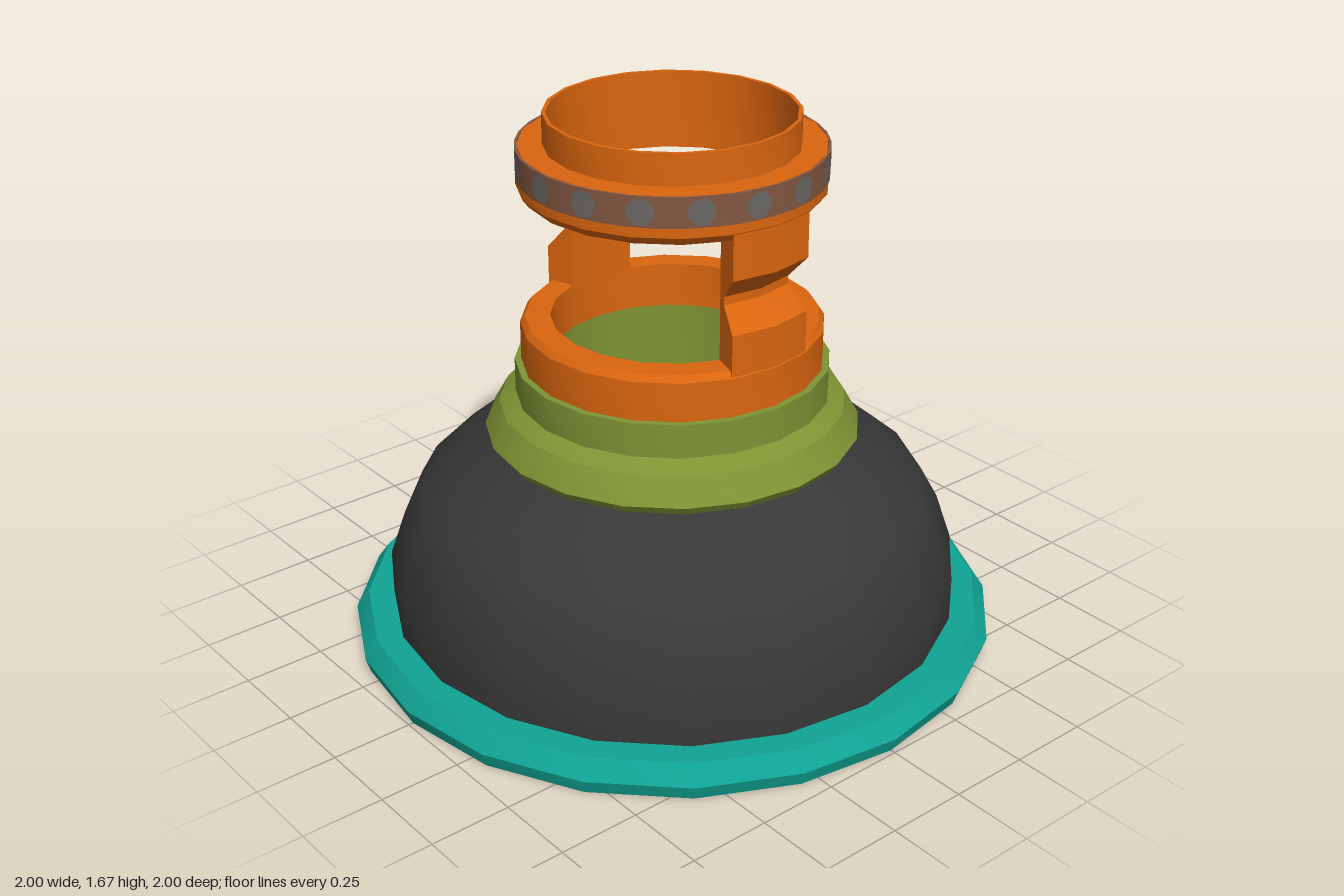
import * as THREE from 'three';
import { toCreasedNormals } from 'three/addons/utils/BufferGeometryUtils.js';

const SIDES = 20;
const DEG = Math.PI / 180;

const material = (name, color, side = THREE.FrontSide) => {
  const m = new THREE.MeshStandardMaterial({ color, side });
  m.name = name;
  return m;
};

const toPoints = (list) => list.map(([r, y]) => new THREE.Vector2(r, y));

// Revolve a [radius, height] profile; closed profiles run up the outside and down the inside
function revolve(profile, closed = true, sides = SIDES, start = 0, length = Math.PI * 2) {
  const pts = toPoints(closed ? [...profile, profile[0]] : profile);
  return toCreasedNormals(new THREE.LatheGeometry(pts, sides, start, length), 25 * DEG);
}

// Thin oval wrapped around the y axis at a given radius and angle
function wrappedOval(radius, angle, y, halfWidth, halfHeight, segments) {
  const geo = new THREE.CircleGeometry(1, segments, Math.PI / segments);
  const pos = geo.attributes.position;
  for (let i = 0; i < pos.count; i++) {
    const a = angle + (pos.getX(i) * halfWidth) / radius;
    pos.setXYZ(i, Math.sin(a) * radius, y + pos.getY(i) * halfHeight, Math.cos(a) * radius);
  }
  geo.computeVertexNormals();
  return geo;
}

export function createModel() {
  const model = new THREE.Group();
  model.name = 'flaredLamp';

  const teal = material('teal', 0x10a494);
  const charcoal = material('charcoal', 0x383838, THREE.DoubleSide);
  const olive = material('olive', 0x7f9434);
  const orange = material('orange', 0xdc660f, THREE.DoubleSide);
  const brown = material('brown', 0x835742);
  const grey = material('grey', 0x6b6864, THREE.DoubleSide);
  const paleGrey = material('paleGrey', 0x948176, THREE.DoubleSide);

  const add = (name, geometry, mat, parent = model) => {
    const mesh = new THREE.Mesh(geometry, mat);
    mesh.name = name;
    parent.add(mesh);
    return mesh;
  };

  // Base rim and the patterned lining of its opening
  add('baseRim', revolve([[0.71, 0], [0.985, 0], [1, 0.045], [0.96, 0.1], [0.71, 0.1]]), teal);
  add('rimLining', revolve([[0.706, 0.1], [0.706, 0.001]], false), brown);
  const liningSpots = new THREE.Group();
  liningSpots.name = 'liningSpots';
  model.add(liningSpots);
  for (let i = 0; i < 7; i++) {
    const angle = (45 + 25.7) * DEG + (i * Math.PI * 2) / 7;
    add('liningSpot', wrappedOval(0.691, angle, 0.05, 0.19, 0.045, 14), paleGrey, liningSpots);
  }

  // Smooth open dome
  const domeProfile = [[0.88, 0.1], [0.88, 0.24], [0.83, 0.385], [0.775, 0.485], [0.67, 0.575], [0.55, 0.66]];
  add('dome', new THREE.LatheGeometry(toPoints(domeProfile), SIDES), charcoal);

  // Stepped collar
  add('collar', revolve([
    [0.37, 0.655], [0.55, 0.655], [0.57, 0.685], [0.525, 0.765],
    [0.475, 0.795], [0.475, 0.9], [0.37, 0.9],
  ]), olive);

  // Lower and upper frame rings
  add('lowerRing', revolve([
    [0.365, 0.9], [0.455, 0.9], [0.455, 1.02], [0.44, 1.04], [0.365, 1.04],
  ]), orange);
  add('upperRing', revolve([
    [0.363, 1.43], [0.435, 1.43], [0.455, 1.455], [0.455, 1.485], [0.45, 1.485],
    [0.45, 1.575], [0.375, 1.575], [0.375, 1.67], [0.363, 1.67],
  ]), orange);

  // Two notched posts, each an arc of the frame with capped ends
  const postProfile = [
    [0.363, 1.03], [0.453, 1.01], [0.453, 1.15], [0.39, 1.22],
    [0.39, 1.245], [0.453, 1.315], [0.453, 1.475], [0.363, 1.475],
  ];
  const capShape = new THREE.Shape(toPoints(postProfile));
  for (const [name, centre] of [['leftPost', 90], ['rightPost', 270]]) {
    const post = new THREE.Group();
    post.name = name;
    model.add(post);
    add('postArc', revolve(postProfile, true, 2, (centre - 18) * DEG, 36 * DEG), orange, post);
    for (const offset of [-18, 18]) {
      const cap = new THREE.ShapeGeometry(capShape);
      cap.rotateY((centre + offset - 90) * DEG);
      add('postSide', cap, orange, post);
    }
  }

  // Spotted band around the upper ring, with one flat facet behind each spot
  const count = 17;
  const step = (Math.PI * 2) / count;
  const phase = -3 * DEG;
  add('spottedBand', revolve([
    [0.448, 1.485], [0.456, 1.485], [0.456, 1.575], [0.448, 1.575],
  ], true, count * 2, phase + step / 4), brown);
  const bandSpots = new THREE.Group();
  bandSpots.name = 'bandSpots';
  model.add(bandSpots);
  for (let i = 0; i < count; i++) {
    add('bandSpot', wrappedOval(0.457, phase + i * step, 1.53, 0.041, 0.041, 8), grey, bandSpots);
  }

  return model;
}
